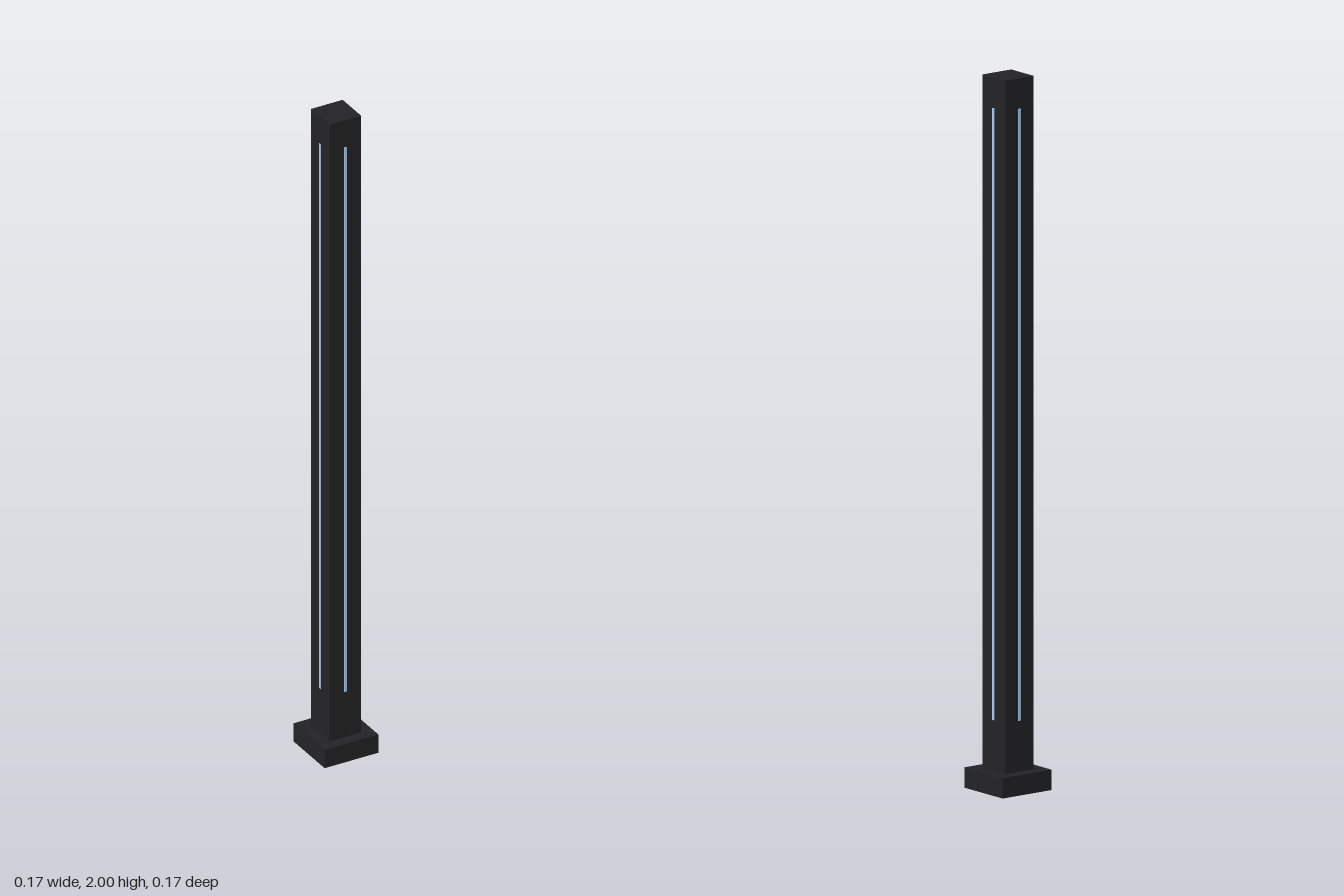
import * as THREE from 'three';

export function createModel() {
  const group = new THREE.Group();
  const dark = new THREE.MeshStandardMaterial({ color: 0x232325 });
  const light = new THREE.MeshStandardMaterial({ color: 0xa9c8f0 });

  // Box standing on height y0
  const box = (name, w, h, d, y0, material) => {
    const mesh = new THREE.Mesh(new THREE.BoxGeometry(w, h, d), material);
    mesh.name = name;
    mesh.position.y = y0 + h / 2;
    group.add(mesh);
    return mesh;
  };

  const baseHeight = 0.057;
  const half = 0.05;
  box('base', 0.17, baseHeight, 0.17, 0, dark);
  box('column', half * 2, 2 - baseHeight, half * 2, baseHeight, dark);

  // One slim light strip on the middle of each side, slightly proud
  ['front', 'left', 'back', 'right'].forEach((side, i) => {
    const angle = (i * Math.PI) / 2;
    const strip = box(side + 'LightStrip', 0.008, 1.715, 0.004, 0.2, light);
    strip.position.x = Math.sin(angle) * half;
    strip.position.z = Math.cos(angle) * half;
    strip.rotation.y = angle;
  });

  return group;
}
